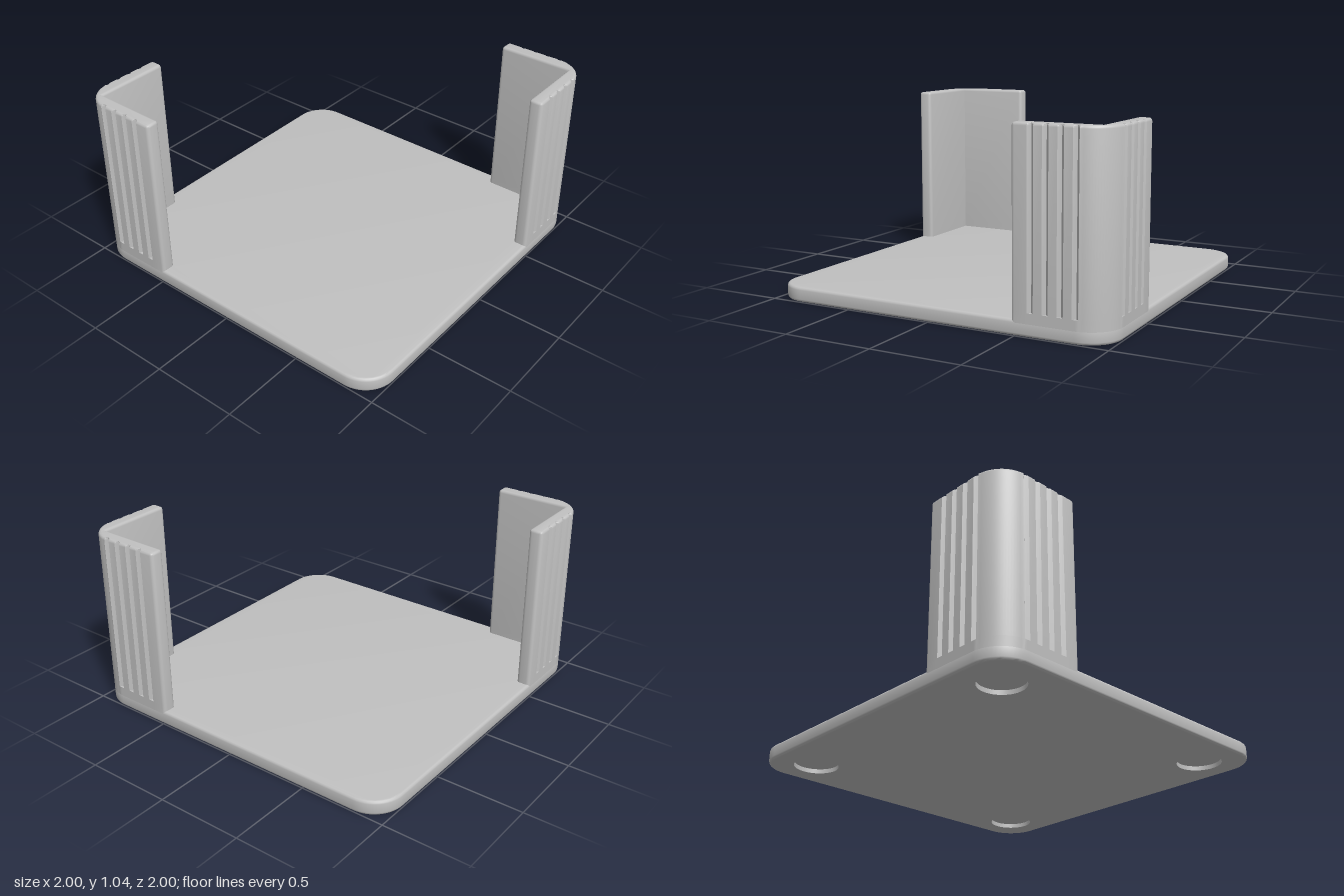
import * as THREE from 'three';
import { toCreasedNormals } from 'three/addons/utils/BufferGeometryUtils.js';

const CORNER = 0.18;   // plan radius of the outer corners
const FILLET = 0.016;  // rounding of the horizontal edges
const BASE_TOP = 0.083;
const WALL_TOP = 1.045;

// Points [x, z] on an arc; angle runs counter-clockwise seen from above.
function arc(cx, cz, r, from, to, steps) {
  return Array.from({ length: steps + 1 }, (_, i) => {
    const a = from + (to - from) * i / steps;
    return [cx + r * Math.cos(a), cz - r * Math.sin(a)];
  });
}

// Rounded square plate outline, shrunk by inset.
function plateOutline(inset = 0) {
  const c = 1 - CORNER;
  const points = [];
  [[1, -1], [-1, -1], [-1, 1], [1, 1]].forEach(([sx, sz], k) => {
    points.push(...arc(sx * c, sz * c, CORNER - inset, k * Math.PI / 2, (k + 1) * Math.PI / 2, 14));
  });
  return points;
}

// L-shaped corner wall outline with V grooves on both outer faces.
function wallOutline(inset, grooveDepth) {
  const inner = 0.92, end = 0.48, e = 0.02, r = e - inset;
  const half = [
    ...arc(end + e, inner + e, r, Math.PI / 2, Math.PI, 4),
    ...arc(end + e, 1 - e, r, Math.PI, Math.PI * 1.5, 4),
  ];
  const face = 1 - inset;
  const bottom = 1 - Math.max(grooveDepth, inset);
  for (let i = 0; i < 4; i++) {
    const x = 0.585 + i * 0.08, w = 0.017;
    half.push([x - w, face], [x, bottom], [x + w, face]);
  }
  const c = 1 - CORNER;
  half.push(...arc(c, c, CORNER - inset, Math.PI * 1.5 + 0.15, Math.PI * 1.75, 8));
  const mirrored = half.slice(0, -1).reverse().map(([x, z]) => [z, x]);
  return [[inner + inset, inner + inset], ...half, ...mirrored];
}

// Joins outlines stacked in y and closes the top.
function loft(rings) {
  const positions = [];
  const triangle = (a, b, c) => {
    const area = b.clone().sub(a).cross(c.clone().sub(a)).length();
    if (area > 1e-9) [a, b, c].forEach((p) => positions.push(p.x, p.y, p.z));
  };
  const loops = rings.map(({ y, points }) => points.map(([x, z]) => new THREE.Vector3(x, y, z)));
  for (let k = 0; k < loops.length - 1; k++) {
    const lower = loops[k], upper = loops[k + 1];
    lower.forEach((a, i) => {
      const j = (i + 1) % lower.length;
      triangle(a, lower[j], upper[j]);
      triangle(a, upper[j], upper[i]);
    });
  }
  const top = loops[loops.length - 1];
  const flat = top.map((p) => new THREE.Vector2(p.x, -p.z));
  THREE.ShapeUtils.triangulateShape(flat, []).forEach(([a, b, c]) => triangle(top[a], top[b], top[c]));
  const geometry = new THREE.BufferGeometry();
  geometry.setAttribute('position', new THREE.Float32BufferAttribute(positions, 3));
  return toCreasedNormals(geometry, 0.6);
}

// Rings that round over a top edge.
function filletRings(top, outline) {
  return [0, 1, 2, 3].map((i) => {
    const a = i * Math.PI / 6;
    return { y: top - FILLET * (1 - Math.sin(a)), points: outline(FILLET * (1 - Math.cos(a)) * 0.98) };
  });
}

export function createModel() {
  const group = new THREE.Group();
  const grey = new THREE.MeshStandardMaterial({ color: 0xc0c0c0, side: THREE.DoubleSide });
  grey.name = 'grey';
  const add = (name, geometry, parent = group) => {
    const mesh = new THREE.Mesh(geometry, grey);
    mesh.name = name;
    parent.add(mesh);
    return mesh;
  };

  // Base plate with softened edges
  const topRings = filletRings(BASE_TOP, plateOutline);
  const bottomRings = filletRings(0, plateOutline)
    .map(({ y, points }) => ({ y: -y, points })).reverse();
  add('basePlate', loft([...bottomRings, ...topRings]));

  // Underside with four round pockets for feet
  const shape = new THREE.Shape(bottomRings[0].points.map(([x, z]) => new THREE.Vector2(x, z)));
  const footRadius = 0.125, pocketDepth = 0.025, foot = 0.76;
  for (const x of [-foot, foot]) {
    for (const z of [-foot, foot]) {
      shape.holes.push(new THREE.Path().absarc(x, z, footRadius, 0, Math.PI * 2, true));
      const pocket = new THREE.Group();
      pocket.name = 'footPocket';
      pocket.position.set(x, 0, z);
      group.add(pocket);
      const rim = new THREE.CylinderGeometry(footRadius, footRadius, pocketDepth, 40, 1, true);
      add('pocketRim', rim, pocket).position.y = pocketDepth / 2;
      const floor = new THREE.CircleGeometry(footRadius, 40).rotateX(Math.PI / 2);
      add('pocketFloor', floor, pocket).position.y = pocketDepth;
    }
  }
  add('underside', new THREE.ShapeGeometry(shape, 20).rotateX(Math.PI / 2));

  // Two grooved corner walls on opposite corners
  const depth = 0.017, grooveStart = 0.122;
  const wall = loft([
    { y: BASE_TOP - FILLET, points: wallOutline(0, 0) },
    { y: grooveStart, points: wallOutline(0, 0) },
    { y: grooveStart, points: wallOutline(0, depth) },
    ...filletRings(WALL_TOP, (inset) => wallOutline(inset, depth)),
  ]);
  add('frontLeftCornerWall', wall);
  add('backRightCornerWall', wall).rotation.y = Math.PI;

  return group;
}
